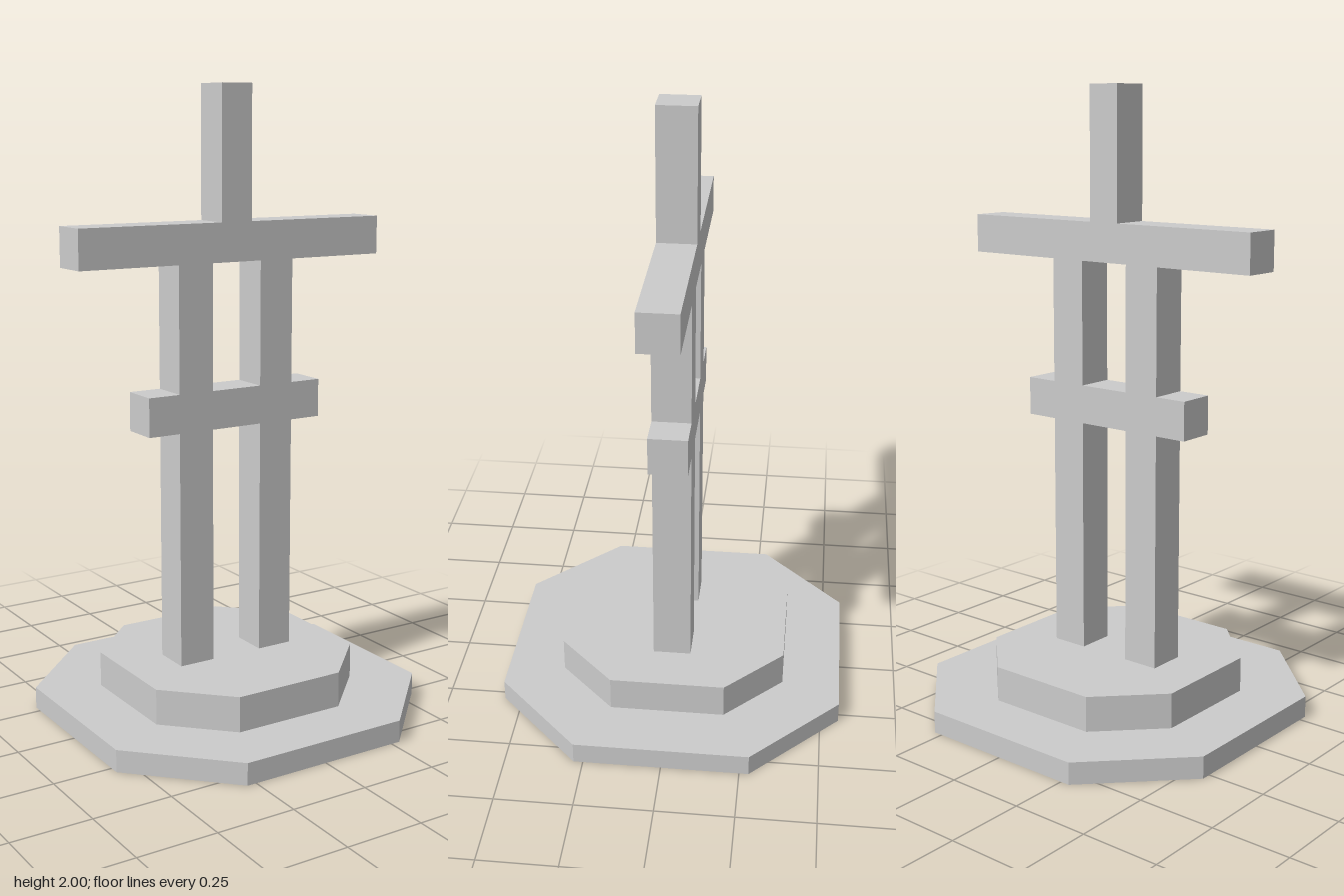
import * as THREE from 'three';

const material = new THREE.MeshStandardMaterial({ color: 0xcccccc, flatShading: true, side: THREE.DoubleSide });

// Corners of a chamfered square of half-width r, running from +z towards +x
function octagon(r, y) {
  const h = r / 2;
  return [[-h, r], [h, r], [r, h], [r, -h], [h, -r], [-h, -r], [-r, -h], [-r, h]]
    .map(([x, z]) => [x, y, z]);
}

// Stepped octagonal shell, open underneath: [half-width, height] rings
function steppedBase(rings) {
  const pos = [];
  for (let k = 0; k < rings.length - 1; k++) {
    const a = octagon(...rings[k]), b = octagon(...rings[k + 1]);
    for (let i = 0; i < 8; i++) {
      const j = (i + 1) % 8;
      pos.push(...a[i], ...a[j], ...b[j]);
      if (rings[k + 1][0] > 0) pos.push(...a[i], ...b[j], ...b[i]);
    }
  }
  const geo = new THREE.BufferGeometry();
  geo.setAttribute('position', new THREE.Float32BufferAttribute(pos, 3));
  geo.computeVertexNormals();
  return geo;
}

// Flat frame: two legs, two crossbars and a top post in one outline
function frameGeometry(foot, depth) {
  const half = [
    [0.088, 0.94], [0.088, foot], [0.208, foot], [0.208, 0.94],
    [0.315, 0.94], [0.315, 1.063], [0.208, 1.063], [0.208, 1.46],
    [0.543, 1.46], [0.543, 1.583], [0.054, 1.583], [0.054, 2],
  ];
  const toPoints = (list) => list.map(([x, y]) => new THREE.Vector2(x, y));
  const mirrored = half.map(([x, y]) => [-x, y]).reverse();
  const shape = new THREE.Shape(toPoints([...half, ...mirrored]));
  shape.holes.push(new THREE.Path(toPoints([[-0.088, 1.063], [-0.088, 1.46], [0.088, 1.46], [0.088, 1.063]])));
  const solid = new THREE.ExtrudeGeometry(shape, { depth, bevelEnabled: false });
  solid.translate(0, 0, -depth / 2);

  // Leave the feet of the legs open
  const p = solid.attributes.position, kept = [];
  for (let i = 0; i < p.count; i += 3) {
    const ids = [i, i + 1, i + 2];
    if (ids.every((n) => p.getY(n) < foot + 0.001)) continue;
    for (const n of ids) kept.push(p.getX(n), p.getY(n), p.getZ(n));
  }
  const geo = new THREE.BufferGeometry();
  geo.setAttribute('position', new THREE.Float32BufferAttribute(kept, 3));
  geo.computeVertexNormals();
  return geo;
}

export function createModel() {
  const model = new THREE.Group();
  model.name = 'postMonument';

  const base = new THREE.Mesh(
    steppedBase([[0.56, 0], [0.56, 0.07], [0.37, 0.07], [0.37, 0.183], [0, 0.183]]), material);
  base.name = 'steppedBase';

  // The legs sink slightly through the top of the base
  const frame = new THREE.Mesh(frameGeometry(0.15, 0.123), material);
  frame.name = 'crossbarFrame';

  model.add(base, frame);
  return model;
}
